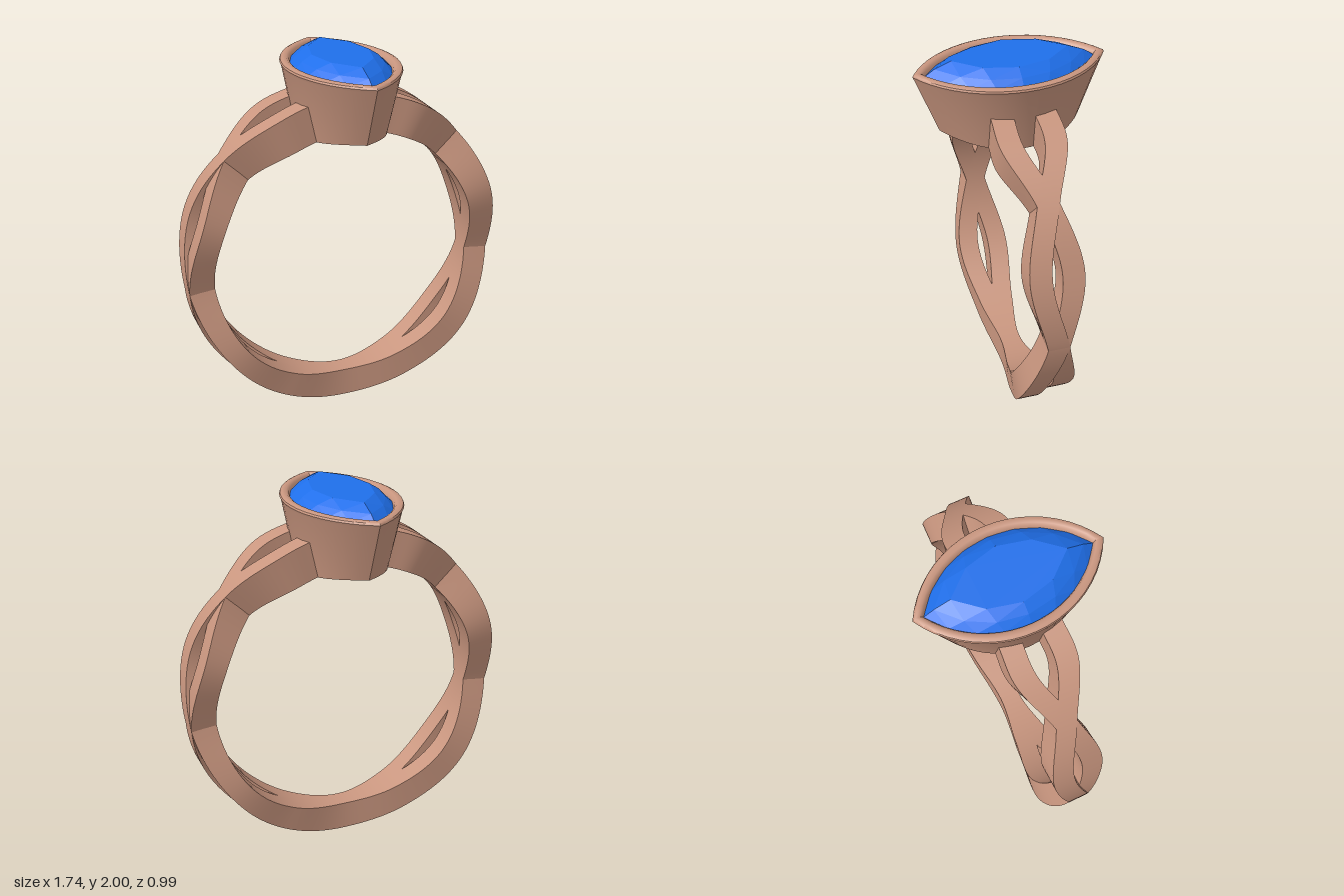
import * as THREE from 'three';
import { toCreasedNormals } from 'three/addons/utils/BufferGeometryUtils.js';
import { ConvexGeometry } from 'three/addons/geometries/ConvexGeometry.js';

const CENTRE_Y = 0.89, INNER_R = 0.73;

// Skin a list of equal-length closed cross-sections, capped at both ends
function loft(rings, crease) {
  const v = [];
  const tri = (a, b, c) => { for (const p of [a, b, c]) v.push(p.x, p.y, p.z); };
  const n = rings[0].length;
  for (let i = 0; i < rings.length - 1; i++) {
    for (let j = 0; j < n; j++) {
      const k = (j + 1) % n, A = rings[i], B = rings[i + 1];
      tri(A[j], A[k], B[j]);
      tri(A[k], B[k], B[j]);
    }
  }
  const first = rings[0], last = rings[rings.length - 1];
  for (let j = 1; j < n - 1; j++) {
    tri(first[0], first[j + 1], first[j]);
    tri(last[0], last[j], last[j + 1]);
  }
  const g = new THREE.BufferGeometry();
  g.setAttribute('position', new THREE.Float32BufferAttribute(v, 3));
  return toCreasedNormals(g, crease);
}

// Pointed oval made of two arcs, half-width a in x and half-length b in z
function marquise(a, b, yAt, seg) {
  const R = (a * a + b * b) / (2 * a), span = Math.asin(b / R), pts = [];
  for (const side of [1, -1]) {
    for (let i = 0; i < seg; i++) {
      const phi = span * (2 * i / seg - 1);
      const x = side * (R * Math.cos(phi) - R + a);
      pts.push(new THREE.Vector3(x, yAt(x), side * R * Math.sin(phi)));
    }
  }
  return pts;
}

// One strand of the band: angle from the top, sideways offset, outer radius
const HALF = [
  [14, 0.11, 0.925], [27, 0.11, 0.92], [46, 0, 0.9], [69, -0.087, 0.88],
  [96.5, 0, 0.868], [127, 0.087, 0.874], [156, 0.043, 0.882], [180, 0, 0.89],
];
function strandGeometry(sign) {
  const mirrored = HALF.slice(0, -1).reverse().map(([t, z, r]) => [360 - t, z, r]);
  const path = new THREE.CatmullRomCurve3([...HALF, ...mirrored].map(p => new THREE.Vector3(...p)));
  const rings = [], N = 180, w = 0.057;
  for (let i = 0; i <= N; i++) {
    const p = path.getPoint(i / N), th = THREE.MathUtils.degToRad(p.x), z = sign * p.y;
    const sx = p.x < 180 ? 1 : -1;
    // one side of each twist sits slightly lower than the other
    const low = p.x > 46 && p.x < 314 ? 0.35 * Math.max(0, -z * sx) : 0;
    const at = (r, dz) => new THREE.Vector3(r * Math.sin(th), CENTRE_Y + r * Math.cos(th), z + dz);
    const out = p.z - low;
    rings.push([at(out, -w), at(out, w), at(INNER_R, w), at(INNER_R, -w)]);
  }
  return loft(rings, 0.7);
}

export function createModel() {
  const model = new THREE.Group();
  model.name = 'ring';
  const metal = new THREE.MeshStandardMaterial({ color: 0xc9967f });
  const blue = new THREE.MeshStandardMaterial({ color: 0x1f6fea, flatShading: true });
  const add = (name, geometry, material) => {
    const mesh = new THREE.Mesh(geometry, material);
    mesh.name = name;
    model.add(mesh);
  };

  // Twisted band
  add('strandA', strandGeometry(1), metal);
  add('strandB', strandGeometry(-1), metal);

  // Bezel cup: seat, rounded rim, tapered wall, finger-curved base, hollow
  const fingerCurve = x => CENTRE_Y + Math.sqrt(INNER_R * INNER_R - x * x);
  const level = y => () => y;
  const cup = [
    [0.235, 0.43, level(1.86)], [0.24, 0.435, level(1.925)], [0.247, 0.445, level(1.945)],
    [0.26, 0.458, level(1.955)], [0.28, 0.477, level(1.956)], [0.294, 0.49, level(1.95)],
    [0.298, 0.495, level(1.94)], [0.291, 0.488, level(1.925)],
    [0.228, 0.37, fingerCurve], [0.115, 0.21, fingerCurve], [0.115, 0.21, level(1.71)],
  ];
  add('bezel', loft(cup.map(([a, b, y]) => marquise(a, b, y, 20)), 0.7), metal);

  // Faceted stone: table, crown, girdle, pavilion
  const stone = [
    ...marquise(0.155, 0.3, level(2), 4),
    ...marquise(0.208, 0.385, level(1.967), 6),
    ...marquise(0.245, 0.44, level(1.93), 8),
    ...marquise(0.24, 0.435, level(1.915), 8),
    ...marquise(0.12, 0.22, level(1.8), 4),
    new THREE.Vector3(0, 1.74, 0),
  ];
  add('stone', new ConvexGeometry(stone), blue);

  return model;
}
